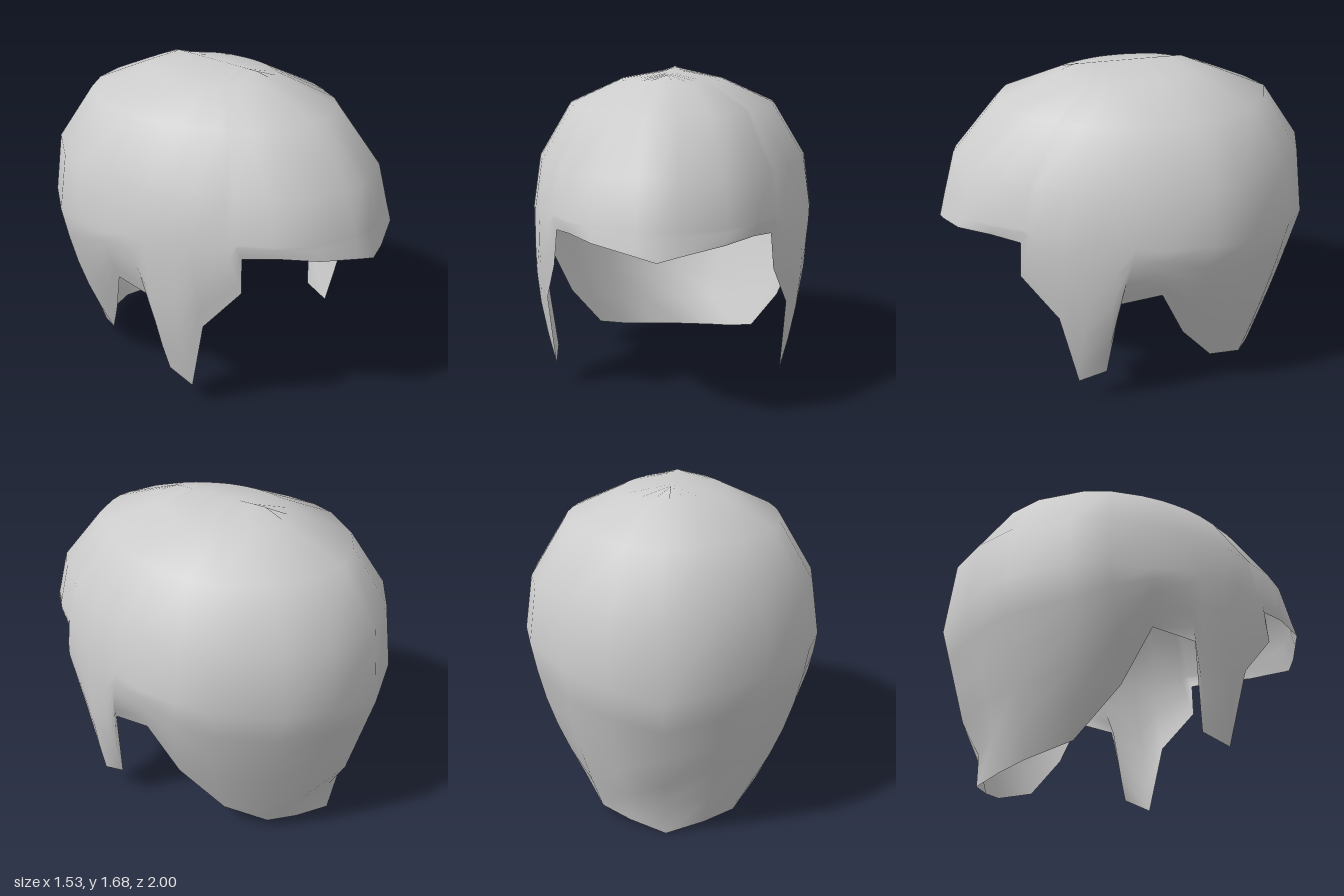
import * as THREE from 'three';
import { mergeVertices } from 'three/addons/utils/BufferGeometryUtils.js';

// Half outline, front centre to back centre: lower edge x,y,z then widest line x,y,z
const COLUMNS = [
  [0, 0.865, 1.0, 0, 1.0, 0.965],
  [0.1, 0.89, 0.98, 0.1, 1.0, 0.95],
  [0.31, 0.93, 0.9, 0.32, 1.0, 0.87],
  [0.44, 0.94, 0.74, 0.455, 1.0, 0.73],
  [0.525, 0.925, 0.6, 0.545, 1.0, 0.58],
  [0.54, 0.75, 0.61, 0.57, 0.98, 0.55],
  [0.615, 0.53, 0.43, 0.65, 0.98, 0.4],
  [0.595, 0.13, 0.335, 0.695, 0.97, 0.29],
  [0.61, 0.185, 0.19, 0.73, 0.96, 0.16],
  [0.68, 0.62, 0.14, 0.75, 0.96, 0.06],
  [0.69, 0.66, -0.08, 0.765, 0.94, -0.1],
  [0.6, 0.38, -0.21, 0.755, 0.94, -0.32],
  [0.46, 0.13, -0.4, 0.7, 0.92, -0.5],
  [0.34, 0.055, -0.6, 0.49, 0.9, -0.78],
  [0.19, 0.03, -0.69, 0.27, 0.87, -0.92],
  [0, 0.005, -0.77, 0, 0.82, -1.0],
];

// Dome rings: half width, front z, back z, centre z, height at front, height at back
const RINGS = [
  [0.725, 0.905, -0.955, -0.1, 1.22, 1.22],
  [0.555, 0.67, -0.76, -0.08, 1.5, 1.5],
  [0.275, 0.35, -0.44, -0.05, 1.625, 1.63],
  [0, 0.26, -0.3, -0.02, 1.663, 1.685],
];
const SIDE_STEPS = 5;

// Points of one column from the lower edge up to the crown ridge
function columnPoints([ex, ey, ez, rx, ry, rz]) {
  const points = [];
  for (let i = 0; i <= SIDE_STEPS; i++) {
    const t = i / SIDE_STEPS;
    const bulge = 0.07 * Math.sin(Math.PI * t) * (ry - ey) * rx;
    const y = ey + (ry - ey) * t;
    let z = ez + (rz - ez) * t;
    if (y < 0.22) z = Math.max(z, -0.77); // upright strip at the nape
    points.push([ex + (rx - ex) * t + bulge, y, z]);
  }
  const u = rx / 0.765;
  const v = rz > -0.1 ? (rz + 0.1) / 1.065 : (rz + 0.1) / 0.9;
  for (const [w, front, back, mid, yFront, yBack] of RINGS) {
    const z = v > 0 ? mid + v * (front - mid) : mid + v * (mid - back);
    const y = yBack + ((yFront - yBack) * (z - back)) / (front - back);
    points.push([u * w, y, z]);
  }
  return points;
}

function shellGeometry() {
  // Mirror the half to close the loop
  const half = COLUMNS.map(columnPoints);
  const mirrored = half.slice(1, -1).reverse()
    .map((column) => column.map(([x, y, z]) => [-x, y, z]));
  const loop = [...half, ...mirrored];
  const rows = half[0].length;
  const index = [];
  loop.forEach((_, j) => {
    const a = j * rows;
    const b = ((j + 1) % loop.length) * rows;
    for (let i = 0; i < rows - 1; i++) {
      index.push(a + i, b + i, b + i + 1, a + i, b + i + 1, a + i + 1);
    }
  });
  const geometry = new THREE.BufferGeometry();
  geometry.setAttribute('position', new THREE.Float32BufferAttribute(loop.flat(2), 3));
  geometry.setIndex(index);
  const merged = mergeVertices(geometry, 1e-4);
  merged.computeVertexNormals();
  return merged;
}

export function createModel() {
  const group = new THREE.Group();
  group.name = 'hairCap';
  const material = new THREE.MeshStandardMaterial({ color: 0xcccccc, side: THREE.DoubleSide });
  // Open shell with brow, sideburns, ear notches and nape
  const shell = new THREE.Mesh(shellGeometry(), material);
  shell.name = 'hairShell';
  group.add(shell);
  return group;
}
